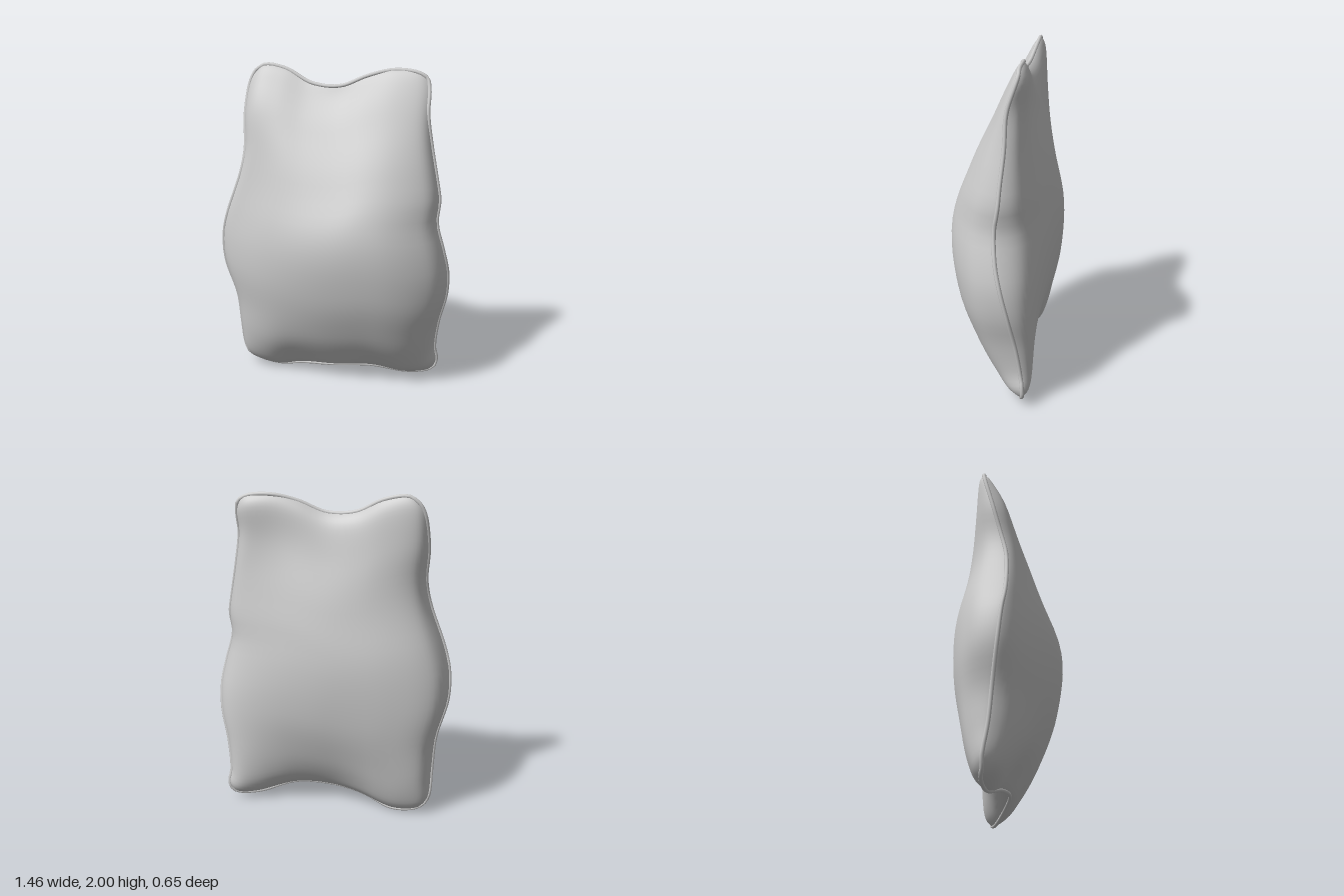
import * as THREE from 'three';

const N = 48; // grid cells across each panel
const LIP = 0.012; // piping radius

// Smooth edge curve through [x, y, z] points, inset by the piping radius
const edge = (pts) => new THREE.CatmullRomCurve3(
  pts.map(([x, y, z]) => new THREE.Vector3(x * 0.983, 1 + (y - 1) * 0.988, z)), false, 'centripetal');

// Value at t of a smooth function through evenly spaced values
const sample = (values, t) => new THREE.SplineCurve(values.map((v) => new THREE.Vector2(0, v))).getPoint(t).y;

const BL = [-0.61, 0.06, -0.12], BR = [0.66, 0.07, -0.14];
const TL = [-0.52, 1.96, -0.14], TR = [0.555, 1.945, -0.1];

// The four edges of the seam
const bottom = edge([BL, [-0.56, 0.025, -0.13], [-0.4, 0, -0.11], [-0.2, 0.055, -0.04], [0, 0.08, 0],
  [0.25, 0.09, -0.02], [0.48, 0.035, -0.09], [0.62, 0.04, -0.13], BR]);
const top = edge([TL, [-0.46, 2, -0.14], [-0.32, 1.98, -0.13], [-0.15, 1.9, -0.1], [0.03, 1.89, -0.08],
  [0.2, 1.955, -0.09], [0.36, 1.99, -0.11], [0.51, 1.975, -0.1], TR]);
const left = edge([BL, [-0.635, 0.12, -0.12], [-0.645, 0.3, -0.09], [-0.66, 0.5, -0.07], [-0.725, 0.75, -0.04],
  [-0.725, 0.93, -0.02], [-0.69, 1.07, 0], [-0.59, 1.35, 0], [-0.565, 1.5, -0.03], [-0.575, 1.7, -0.08],
  [-0.55, 1.9, -0.13], TL]);
const right = edge([BR, [0.67, 0.12, -0.14], [0.655, 0.2, -0.13], [0.675, 0.4, -0.1], [0.72, 0.6, -0.06],
  [0.725, 0.77, -0.02], [0.695, 0.92, 0.01], [0.65, 1.1, 0.02], [0.66, 1.23, 0], [0.64, 1.35, -0.01],
  [0.6, 1.55, -0.03], [0.57, 1.75, -0.04], [0.57, 1.88, -0.08], TR]);

// Surface spanning the four edges
function spanSeam(u, v) {
  const p = new THREE.Vector3();
  const add = (q, w) => p.addScaledVector(q, w);
  add(bottom.getPointAt(u), 1 - v);
  add(top.getPointAt(u), v);
  add(left.getPointAt(v), 1 - u);
  add(right.getPointAt(v), u);
  add(bottom.getPointAt(0), -(1 - u) * (1 - v));
  add(bottom.getPointAt(1), -u * (1 - v));
  add(top.getPointAt(0), -(1 - u) * v);
  add(top.getPointAt(1), -u * v);
  return p;
}

const ease = (t) => 0.5 - 0.5 * Math.cos(Math.PI * t); // finer cells near the seam

// Cloth panel: rows of depths (bottom to top, -x to +x) lofted smoothly to the seam
function panel(name, rows, facing, material) {
  const columns = rows[0].map((_, k) => {
    const u = ease((k + 1) / (rows[0].length + 1));
    return [bottom.getPointAt(u).z, ...rows.map((r) => r[k]), top.getPointAt(u).z];
  });
  const pos = [], index = [];
  for (let j = 0; j <= N; j++) {
    const v = ease(j / N);
    const across = [left.getPointAt(v).z, ...columns.map((c) => sample(c, j / N)), right.getPointAt(v).z];
    for (let i = 0; i <= N; i++) {
      const p = spanSeam(ease(i / N), v);
      const rim = j === 0 || j === N;
      pos.push(p.x, p.y, rim ? p.z : sample(across, i / N));
      if (i < N && j < N) {
        const a = j * (N + 1) + i, b = a + 1, c = a + N + 1, d = c + 1;
        if (facing > 0) index.push(a, b, d, a, d, c);
        else index.push(a, d, b, a, c, d);
      }
    }
  }
  const g = new THREE.BufferGeometry();
  g.setAttribute('position', new THREE.Float32BufferAttribute(pos, 3));
  g.setIndex(index);
  g.computeVertexNormals();
  const mesh = new THREE.Mesh(g, material);
  mesh.name = name;
  return mesh;
}

export function createModel() {
  const group = new THREE.Group();
  group.name = 'pillow';
  const cloth = new THREE.MeshStandardMaterial({ color: 0xcccccc, side: THREE.DoubleSide });

  group.add(panel('frontPanel', [
    [-0.03, 0, 0.06, 0.04, -0.03],
    [0.04, 0.13, 0.18, 0.17, 0.07],
    [0.07, 0.21, 0.285, 0.275, 0.15],
    [0.07, 0.22, 0.315, 0.305, 0.18],
    [0.06, 0.15, 0.195, 0.19, 0.11],
    [0, 0.035, 0.055, 0.05, 0.02],
    [-0.09, -0.07, -0.05, -0.05, -0.06],
  ], 1, cloth));
  group.add(panel('backPanel', [
    [-0.18, -0.17, -0.09, -0.12, -0.18],
    [-0.22, -0.24, -0.2, -0.19, -0.19],
    [-0.23, -0.3, -0.29, -0.24, -0.17],
    [-0.2, -0.3, -0.32, -0.25, -0.14],
    [-0.16, -0.24, -0.265, -0.2, -0.12],
    [-0.17, -0.2, -0.19, -0.15, -0.12],
    [-0.17, -0.17, -0.14, -0.14, -0.14],
  ], -1, cloth));

  // Piping all round the seam
  const loop = [];
  const walk = (curve, back) => {
    for (let i = 0; i < 32; i++) loop.push(curve.getPointAt(back ? 1 - i / 32 : i / 32));
  };
  walk(bottom, false);
  walk(right, false);
  walk(top, true);
  walk(left, true);
  const seam = new THREE.CatmullRomCurve3(loop, true);
  const piping = new THREE.Mesh(new THREE.TubeGeometry(seam, 200, LIP, 8, true), cloth);
  piping.name = 'seamPiping';
  group.add(piping);
  return group;
}
